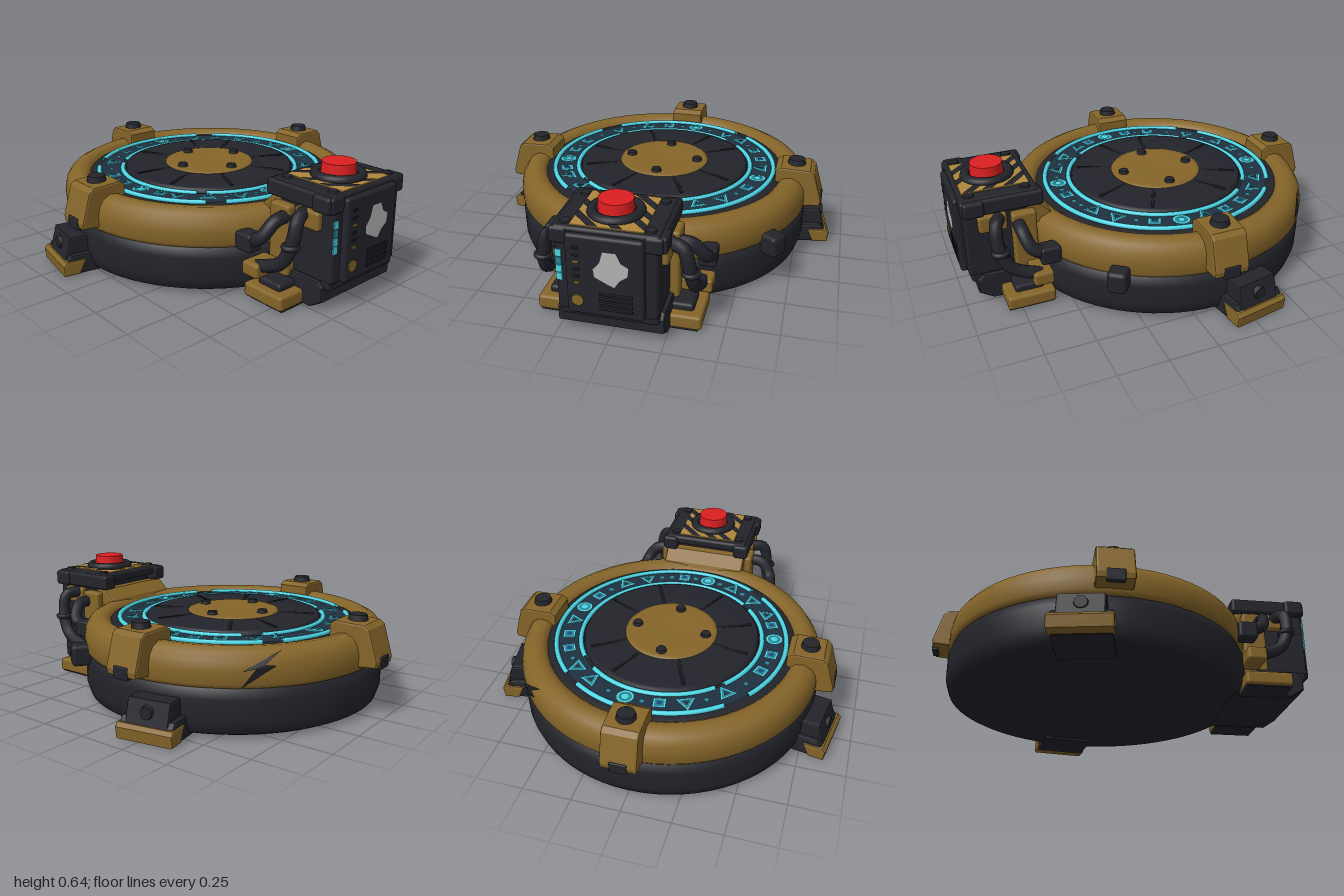
import * as THREE from 'three';
import { RoundedBoxGeometry } from 'three/addons/geometries/RoundedBoxGeometry.js';

const mat = (name, color, side = THREE.FrontSide) => {
  const m = new THREE.MeshStandardMaterial({ color, side });
  m.name = name;
  return m;
};

export function createModel() {
  const root = new THREE.Group();
  const M = {
    gold: mat('old gold', 0x856529),
    dark: mat('dark steel', 0x23242b),
    black: mat('groove black', 0x1a1b20),
    navy: mat('glyph band navy', 0x1f3040),
    blue: mat('deep blue', 0x1c4a78),
    cyan: mat('glowing cyan', 0x4cd6e6, THREE.DoubleSide),
    teal: mat('dim teal', 0x2b8594, THREE.DoubleSide),
    red: mat('button red', 0xdc1f20),
    yellow: mat('hazard yellow', 0xb0873c),
    pale: mat('pale grey', 0xb4b4b5),
  };

  const add = (parent, name, geo, m, x = 0, y = 0, z = 0) => {
    const mesh = new THREE.Mesh(geo, m);
    mesh.name = name;
    mesh.position.set(x, y, z);
    parent.add(mesh);
    return mesh;
  };
  const group = (name, parent = root) => {
    const g = new THREE.Group();
    g.name = name;
    parent.add(g);
    return g;
  };
  const block = (parent, name, m, w, h, d, x, y, z, r = 0.015) =>
    add(parent, name, new RoundedBoxGeometry(w, h, d, 2, Math.min(r, w / 3, h / 3, d / 3)), m, x, y, z);
  const lathe = (parent, name, pts, m) =>
    add(parent, name, new THREE.LatheGeometry(pts.map(p => new THREE.Vector2(...p)), 72), m);
  const outline = pts => new THREE.Shape(pts.map(p => new THREE.Vector2(...p)));
  // side profile (outward, up) given a bevelled width across
  const slab = (parent, name, pts, width, m) => {
    const b = 0.01;
    const geo = new THREE.ExtrudeGeometry(outline(pts), {
      depth: width - 2 * b, bevelEnabled: true, bevelThickness: b, bevelSize: b, bevelOffset: -b, bevelSegments: 2,
    });
    geo.translate(0, 0, b - width / 2);
    return add(parent, name, geo, m);
  };
  const bolt = (parent, name, r, h, x, y, z) =>
    add(parent, name, new THREE.CylinderGeometry(r * 0.85, r, h, 12), M.dark, x, y, z);
  const flat = (parent, name, geo, m, y, x = 0, z = 0) => add(parent, name, geo.rotateX(-Math.PI / 2), m, x, y, z);
  const deg = Math.PI / 180;

  // ---- round platform ----
  const pad = group('platform');
  pad.position.z = -0.125;
  lathe(pad, 'base', [[0, 0.012], [0.74, 0.012], [0.765, 0.025], [0.783, 0.08], [0.785, 0.19], [0.768, 0.235], [0.74, 0.25]], M.dark);
  lathe(pad, 'goldRim', [[0.74, 0.235], [0.77, 0.24], [0.785, 0.26], [0.787, 0.32], [0.778, 0.365], [0.755, 0.4], [0.715, 0.42], [0.675, 0.415], [0.65, 0.395], [0.645, 0.37]], M.gold);
  lathe(pad, 'floor', [[0.66, 0.385], [0.63, 0.398], [0.605, 0.395], [0, 0.395]], M.dark);
  flat(pad, 'glyphBand', new THREE.RingGeometry(0.475, 0.6, 72), M.navy, 0.4);
  lathe(pad, 'centrePlate', [[0.46, 0.39], [0.455, 0.413], [0.44, 0.419], [0.25, 0.424], [0, 0.424]], M.dark);
  lathe(pad, 'hub', [[0.245, 0.415], [0.238, 0.428], [0.22, 0.432], [0.1, 0.43], [0, 0.426]], M.gold);
  [169, 114, 64, 33, -26, -65, -115, -157].forEach(a => {
    const spoke = group('spokeGroove', pad);
    spoke.rotation.y = a * deg;
    block(spoke, 'groove', M.black, 0.19, 0.008, 0.016, 0.335, 0.421, 0, 0.003);
  });
  for (let i = 0; i < 4; i++) {
    const a = i * Math.PI / 2;
    bolt(pad, 'hubBolt', 0.028, 0.02, 0.185 * Math.cos(a), 0.438, 0.185 * Math.sin(a));
  }

  // raised glowing arcs round the band: radius, start and end in degrees
  [[0.602, 57, 130], [0.602, 143, 228], [0.602, 237, 408],
    [0.475, 52, 132], [0.475, 138, 222], [0.475, 228, 400]].forEach(([r, s, e]) => {
    const arc = new THREE.TorusGeometry(r, 0.0125, 8, 64, (e - s) * deg).rotateZ(s * deg);
    flat(pad, 'glowArc', arc, M.cyan, 0.402);
  });

  // glyphs as [angle, sides]: triangles, squares and discs with bright edges
  [[113.5, 3], [100, 4], [82, 24], [59, 3], [46, 3], [29, 4], [16, 4], [3, 3], [-10.5, 24], [-24.5, 4], [-44.5, 3], [-59, 3],
    [-82, 4], [-97, 24], [-114, 3], [-131, 3], [-147, 3], [-157, 4], [-170, 24], [176, 4], [161, 4], [135, 3]].forEach(([a, n], i) => {
    const slot = group('glyph', pad);
    slot.rotation.y = a * deg;
    const size = n === 3 ? 0.056 : 0.044, turn = n === 4 ? Math.PI / 4 : (i % 2) * Math.PI;
    flat(slot, 'glyphFill', new THREE.CircleGeometry(size * 0.85, n, turn), M.teal, 0.404, 0.538);
    flat(slot, 'glyphEdge', new THREE.RingGeometry(size * 0.74, size, n, 1, turn), M.cyan, 0.407, 0.538);
    flat(slot, 'glyphCore', new THREE.CircleGeometry(size * 0.4, n, turn), n === 24 ? M.cyan : n === 4 ? M.blue : M.navy, 0.408, 0.538);
  });
  [124, 91, 72, 38, -34, -68, -74, -89, -105, -122, 169, 148].forEach(a =>
    flat(pad, 'glyphDot', new THREE.CircleGeometry(0.014, 8), M.teal, 0.405, 0.538 * Math.cos(a * deg), -0.538 * Math.sin(a * deg)));

  // jagged dark mark wrapped on the rim
  const mark = new THREE.ShapeGeometry(outline([[0.1, 0.41], [-0.08, 0.325], [-0.02, 0.335], [-0.085, 0.25], [0.07, 0.345], [0.02, 0.352]]));
  const mp = mark.attributes.position;
  for (let i = 0; i < mp.count; i++) {
    const y = mp.getY(i), a = 44 * deg + mp.getX(i) / 0.78;
    const r = 0.799 - Math.max(0, y - 0.32) * 0.36;
    mp.setXYZ(i, r * Math.cos(a), y, -r * Math.sin(a));
  }
  mark.computeVertexNormals();
  add(pad, 'rimMark', mark, M.black);

  // three rim clamps
  [0, 90, 180].forEach(a => {
    const clamp = group('rimClamp', pad);
    clamp.rotation.y = a * deg;
    slab(clamp, 'clampBody', [[0.62, 0.39], [0.62, 0.455], [0.65, 0.475], [0.8, 0.47], [0.825, 0.45], [0.87, 0.3], [0.865, 0.272], [0.77, 0.262]], 0.18, M.gold);
    bolt(clamp, 'clampBolt', 0.05, 0.035, 0.725, 0.482, 0);
    block(clamp, 'clampNotch', M.dark, 0.03, 0.06, 0.085, 0.858, 0.287, 0, 0.005);
  });

  // two side feet
  [10, 170].forEach(a => {
    const foot = group('sideFoot', pad);
    foot.rotation.y = a * deg;
    slab(foot, 'footBracket', [[0.6, 0.012], [0.84, 0.012], [0.9, 0.07], [0.865, 0.19], [0.7, 0.19]], 0.22, M.dark);
    slab(foot, 'footSkirt', [[0.6, 0], [0.85, 0], [0.895, 0.08], [0.875, 0.105], [0.6, 0.105]], 0.275, M.dark);
    slab(foot, 'footToe', [[0.835, 0.003], [0.915, 0.003], [0.922, 0.06], [0.905, 0.078], [0.8, 0.078]], 0.295, M.gold);
    add(foot, 'footBolt', new THREE.CylinderGeometry(0.03, 0.035, 0.02, 12).rotateZ(-Math.PI / 2), M.dark, 0.885, 0.135, 0);
  });

  // small knob on the base
  const knob = group('sideKnob', pad);
  knob.rotation.y = -36 * deg;
  block(knob, 'knob', M.dark, 0.1, 0.11, 0.095, 0.815, 0.245, 0, 0.02);

  // ---- control console ----
  const con = group('console');
  block(con, 'consoleBody', M.dark, 0.46, 0.41, 0.32, 0, 0.345, 0.805);
  block(con, 'frontPanel', M.dark, 0.35, 0.4, 0.06, 0, 0.345, 0.965);
  block(con, 'topPlate', M.dark, 0.48, 0.05, 0.38, 0, 0.54, 0.78);
  slab(con, 'consoleSkirt', [[0.55, 0.005], [0.86, 0.005], [0.93, 0.05], [0.93, 0.12], [0.9, 0.145], [0.72, 0.145], [0.6, 0.09]], 0.5, M.dark).rotation.y = -Math.PI / 2;
  slab(con, 'rearShelf', [[0.52, 0.37], [0.54, 0.425], [0.6, 0.48], [0.66, 0.48], [0.66, 0.37]], 0.47, M.gold).rotation.y = -Math.PI / 2;
  for (const s of [-1, 1]) {
    block(con, 'topRail', M.dark, 0.085, 0.08, 0.4, s * 0.212, 0.52, 0.775);
    block(con, 'cornerCap', M.dark, 0.095, 0.08, 0.1, s * 0.222, 0.52, 0.915);
    for (const z of [0.65, 0.92]) bolt(con, 'topBolt', 0.028, 0.016, s * 0.19, 0.565, z);
    // brackets, feet, couplings and hoses at each side
    block(con, 'sideBracket', M.gold, 0.06, 0.35, 0.12, s * 0.245, 0.29, 0.68);
    block(con, 'sideClasp', M.gold, 0.05, 0.09, 0.14, s * 0.235, 0.43, 0.83);
    block(con, 'frontFootToe', M.gold, 0.16, 0.07, 0.24, s * 0.315, 0.043, 0.7);
    block(con, 'frontFootSole', M.dark, 0.15, 0.03, 0.23, s * 0.305, 0.015, 0.7, 0.004);
    block(con, 'frontFootBracket', M.dark, 0.12, 0.1, 0.14, s * 0.29, 0.06, 0.7);
    block(con, 'hoseClamp', M.gold, 0.15, 0.07, 0.1, s * 0.345, 0.165, 0.64);
    block(con, 'hoseCoupling', M.dark, 0.085, 0.09, 0.1, s * 0.385, 0.29, 0.6);
    [[[0.24, 0.45, 0.8], [0.31, 0.44, 0.83], [0.34, 0.34, 0.83], [0.355, 0.23, 0.78], [0.37, 0.17, 0.64]],
      [[0.39, 0.29, 0.6], [0.385, 0.33, 0.68], [0.33, 0.4, 0.71], [0.24, 0.41, 0.71]]].forEach(path => {
      const curve = new THREE.CatmullRomCurve3(path.map(([x, y, z]) => new THREE.Vector3(s * x, y, z)));
      add(con, 'hose', new THREE.TubeGeometry(curve, 24, 0.032, 10), M.dark);
    });
    add(con, 'hoseCollar', new THREE.TorusGeometry(0.032, 0.014, 8, 16).rotateX(Math.PI / 2), M.dark, s * 0.345, 0.32, 0.825);
  }

  // hazard plate, diagonal bands clipped to its square
  const h = 0.165;
  block(con, 'hazardPlate', M.yellow, 2 * h, 0.008, 2 * h, 0, 0.566, 0.785, 0.002);
  const edge = c => (c < 0 ? [[-h, c + h], [c + h, -h]] : [[c - h, h], [h, c - h]]);
  [-0.25, -0.14, 0.01, 0.1, 0.2].forEach(c => {
    const [a, b] = edge(c), [d, e] = edge(c + 0.05);
    flat(con, 'hazardBand', new THREE.ShapeGeometry(outline([a, b, e, d])), M.dark, 0.573, 0, 0.785);
  });
  add(con, 'buttonCollar', new THREE.TorusGeometry(0.108, 0.024, 10, 32).rotateX(Math.PI / 2), M.dark, 0, 0.575, 0.79);
  bolt(con, 'buttonSeat', 0.11, 0.02, 0, 0.572, 0.79);
  add(con, 'redButton', new THREE.CylinderGeometry(0.08, 0.085, 0.07, 20), M.red, 0, 0.602, 0.79);

  // front panel details
  const front = group('panelDetails', con);
  front.position.z = 0.996;
  const patch = outline([[-0.03, 0.085], [0.03, 0.085], [0.05, 0.04], [0.085, 0.02], [0.08, -0.025], [0.045, -0.05], [0.02, -0.088], [-0.02, -0.07], [-0.07, -0.045], [-0.075, -0.005], [-0.045, 0.03]]);
  add(front, 'palePatch', new THREE.ShapeGeometry(patch), M.pale, 0.025, 0.395, 0.003);
  for (let i = 0; i < 4; i++) block(front, 'ventSlot', M.black, 0.15, 0.014, 0.008, 0.05, 0.19 + i * 0.025, 0, 0.003);
  add(front, 'goldKnob', new THREE.CylinderGeometry(0.028, 0.03, 0.02, 16).rotateX(Math.PI / 2), M.gold, -0.125, 0.22, -0.006);
  for (let i = 0; i < 6; i++) block(front, 'panelSwitch', i % 3 ? M.black : M.gold, 0.028, 0.014, 0.008, -0.125, 0.31 + i * 0.035, 0, 0.003);
  for (let i = 0; i < 4; i++) block(front, 'lightStrip', i === 2 ? M.teal : M.cyan, 0.03, 0.037, 0.008, -0.215, 0.31 + i * 0.04, -0.03, 0.003);
  block(front, 'lowerLip', M.dark, 0.46, 0.05, 0.06, 0, 0.13, -0.07);

  return root;
}
